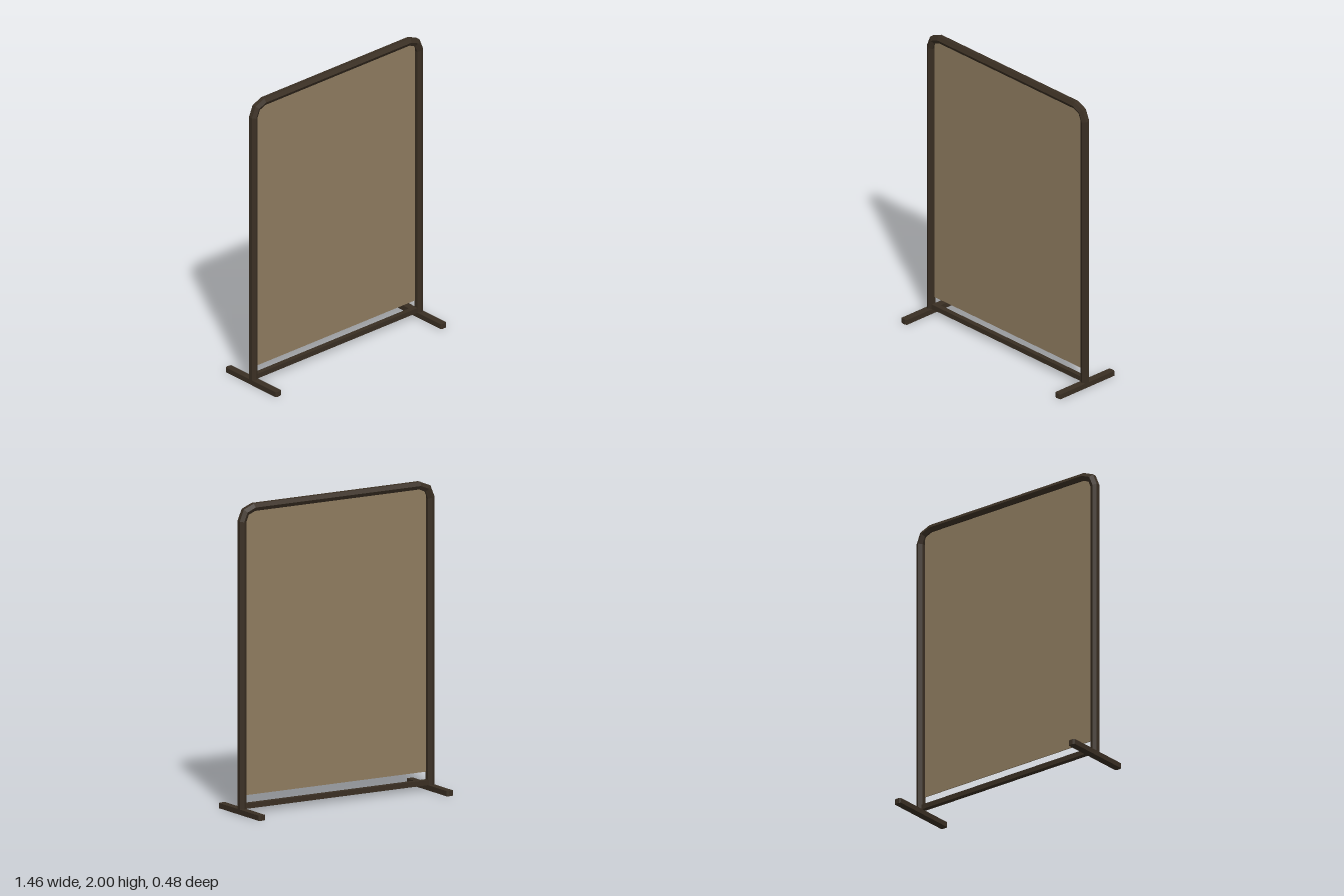
import * as THREE from 'three';

// Hexagonal tube swept along a path in the xy plane, with mitred bends.
function hexTube(path, r) {
  const positions = [], index = [], n = path.length;
  path.forEach((p, i) => {
    const before = path[Math.max(i - 1, 0)], after = path[Math.min(i + 1, n - 1)];
    const d1 = i > 0 ? p.clone().sub(before).normalize() : after.clone().sub(p).normalize();
    const d2 = i < n - 1 ? after.clone().sub(p).normalize() : d1;
    const t = d1.clone().add(d2).normalize();
    const miter = 1 / t.dot(d1);
    for (let k = 0; k < 6; k++) {
      const a = Math.PI / 6 + k * Math.PI / 3;
      const out = Math.cos(a) * r * miter;
      positions.push(p.x - t.y * out, p.y + t.x * out, Math.sin(a) * r);
    }
  });
  for (let i = 0; i < n - 1; i++) {
    for (let k = 0; k < 6; k++) {
      const a = i * 6 + k, b = i * 6 + (k + 1) % 6;
      index.push(a, b, b + 6, a, b + 6, a + 6);
    }
  }
  const g = new THREE.BufferGeometry();
  g.setAttribute('position', new THREE.Float32BufferAttribute(positions, 3));
  g.setIndex(index);
  const flat = g.toNonIndexed();
  flat.computeVertexNormals();
  return flat;
}

export function createModel() {
  const group = new THREE.Group();
  const darkMetal = new THREE.MeshStandardMaterial({ color: 0x3a2f23 });
  darkMetal.name = 'dark metal';
  const panelTan = new THREE.MeshStandardMaterial({ color: 0x8f7c60 });
  panelTan.name = 'tan panel';

  const add = (name, geometry, material, x, y, z) => {
    const mesh = new THREE.Mesh(geometry, material);
    mesh.name = name;
    mesh.position.set(x, y, z);
    group.add(mesh);
  };

  // Frame: two posts joined by a top rail through two-step bends
  const half = 0.706, top = 1.976, bend = 0.086;
  const path = [new THREE.Vector2(-half, 0.01)];
  for (const [side, start] of [[-1, Math.PI], [1, Math.PI / 2]]) {
    for (let i = 0; i <= 2; i++) {
      const a = start - i * Math.PI / 4;
      path.push(new THREE.Vector2(
        side * (half - bend) + bend * Math.cos(a),
        top - bend + bend * Math.sin(a)));
    }
  }
  path.push(new THREE.Vector2(half, 0.01));
  add('frame', hexTube(path, 0.028), darkMetal, 0, 0, 0);

  // Feet: flat bars with clipped end corners
  const w = 0.024, l = 0.24, c = 0.006;
  const plan = new THREE.Shape([
    [-w, -l + c], [-w + 2 * c, -l], [w - 2 * c, -l], [w, -l + c],
    [w, l - c], [w - 2 * c, l], [-w + 2 * c, l], [-w, l - c],
  ].map(([x, y]) => new THREE.Vector2(x, y)));
  const foot = new THREE.ExtrudeGeometry(plan, { depth: 0.034, bevelEnabled: false });
  foot.rotateX(-Math.PI / 2);
  add('leftFoot', foot, darkMetal, 0.705, 0, 0);
  add('rightFoot', foot, darkMetal, -0.705, 0, 0);

  // Lower crossbar between the posts
  add('crossbar', new THREE.BoxGeometry(1.39, 0.033, 0.033), darkMetal, 0, 0.051, 0);

  // Thin screen panel
  add('panel', new THREE.BoxGeometry(1.344, 1.835, 0.006), panelTan, 0, 1.0375, 0);

  return group;
}
